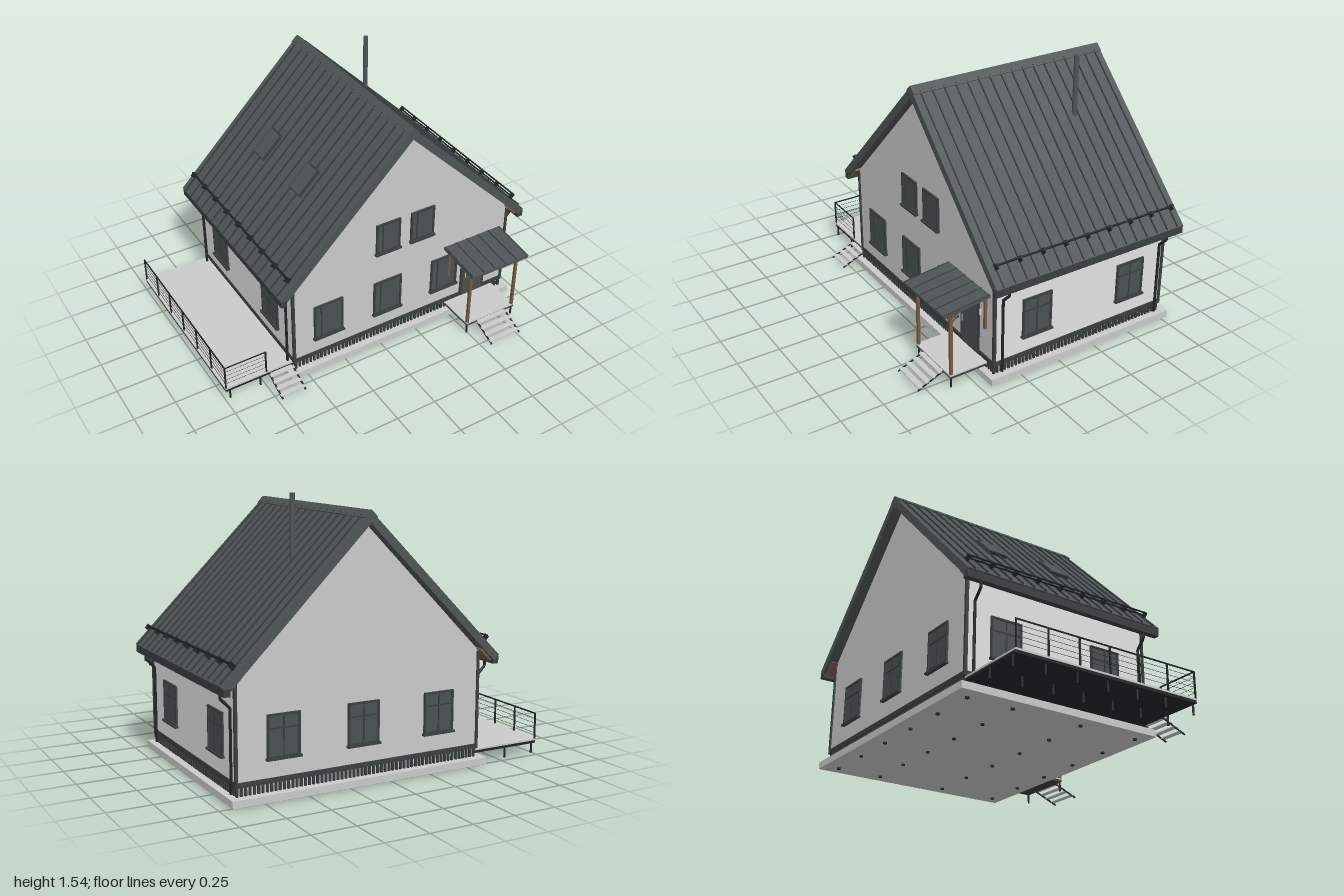
import * as THREE from 'three';

const mat = (name, color, side = THREE.FrontSide) => {
  const m = new THREE.MeshStandardMaterial({ color, side });
  m.name = name;
  return m;
};

export function createModel() {
  const M = {
    gable: mat('gablePlaster', 0xcacaca),
    wall: mat('sideWallPlaster', 0xe2e2e2),
    roof: mat('roofMetal', 0x4e5455),
    trim: mat('darkTrim', 0x3a3f40),
    glass: mat('glass', 0x4a5051),
    iron: mat('blackIron', 0x222627),
    wood: mat('wood', 0x7a5c42),
  };
  const house = new THREE.Group();
  house.name = 'house';
  const group = (name, parent = house) => {
    const g = new THREE.Group();
    g.name = name;
    parent.add(g);
    return g;
  };
  const add = (parent, name, geo, m) => {
    const mesh = new THREE.Mesh(geo, m);
    mesh.name = name;
    parent.add(mesh);
    return mesh;
  };
  // Box given by its limits on each axis
  const box = (parent, name, m, x0, x1, y0, y1, z0, z1) => {
    const b = add(parent, name, new THREE.BoxGeometry(x1 - x0, y1 - y0, z1 - z0), m);
    b.position.set((x0 + x1) / 2, (y0 + y1) / 2, (z0 + z1) / 2);
    return b;
  };
  // Round bar between two points
  const bar = (parent, name, m, a, b, r, sides = 8) => {
    const p = new THREE.Vector3(...a), q = new THREE.Vector3(...b);
    const c = add(parent, name, new THREE.CylinderGeometry(r, r, p.distanceTo(q), sides), m);
    c.position.copy(p).add(q).multiplyScalar(0.5);
    c.quaternion.setFromUnitVectors(new THREE.Vector3(0, 1, 0), q.sub(p).normalize());
    return c;
  };
  const extrude = (points, depth) => new THREE.ExtrudeGeometry(
    new THREE.Shape(points.map(p => new THREE.Vector2(...p))), { depth, bevelEnabled: false });

  const L = -0.57, R = 0.9, F = 0.41, B = -0.74, RX = 0.16;

  // Foundation slab, piles and slatted plinth
  box(house, 'foundationSlab', M.gable, -0.615, 0.94, 0.01, 0.05, -0.785, 0.45);
  const piles = group('piles');
  for (let i = 0; i < 6; i++) for (const z of [0.37, 0, -0.43, -0.7])
    bar(piles, 'pile', M.iron, [-0.53 + i * 0.276, 0, z], [-0.53 + i * 0.276, 0.02, z], 0.011);
  box(house, 'plinth', M.gable, L + 0.012, R - 0.012, 0.05, 0.1, B + 0.012, F - 0.012);
  const slats = group('plinthSlats');
  for (let x = L + 0.012; x < R; x += 0.0242) for (const z of [B + 0.006, F - 0.006])
    box(slats, 'slat', M.trim, x - 0.006, x + 0.006, 0.05, 0.1, z - 0.006, z + 0.006);
  for (let z = B + 0.012; z < F; z += 0.0242) for (const x of [L + 0.006, R - 0.006])
    box(slats, 'slat', M.trim, x - 0.006, x + 0.006, 0.05, 0.1, z - 0.006, z + 0.006);

  // Walls with gable ends, base band and corner boards
  const walls = add(house, 'walls', extrude(
    [[L, 0.1], [R, 0.1], [R, 0.662], [RX, 1.394], [L, 0.662]], F - B), [M.gable, M.wall]);
  walls.position.z = B;
  box(house, 'baseBand', M.trim, L - 0.006, R + 0.006, 0.098, 0.125, B - 0.006, F + 0.006);
  for (const x of [L, R]) for (const z of [B, F])
    box(house, 'cornerBoard', M.trim, x - 0.008, x + 0.008, 0.1, 0.655, z - 0.008, z + 0.008);

  // Roof
  const roof = add(house, 'roof', extrude([[RX, 1.46], [-0.67, 0.635], [-0.64, 0.603],
    [RX, 1.396], [0.96, 0.603], [0.99, 0.635]], 1.26), M.roof);
  roof.position.z = -0.8;
  const slopes = [0, Math.PI].map(turn => {
    const outer = group(turn ? 'leftFacingSlope' : 'rightFacingSlope');
    outer.position.set(RX, 1.46, -0.17);
    outer.rotation.y = turn;
    const s = group('slopeDetails', outer);
    s.rotation.z = -Math.atan2(0.825, 0.83);
    // Standing seams, ridge cap, snow guard and soffit in slope space
    for (let i = -8; i <= 8; i++)
      box(s, 'seam', M.trim, 0.05, 1.165, -0.002, 0.009, i * 0.0732 - 0.003, i * 0.0732 + 0.003);
    box(s, 'ridgeCap', M.roof, 0, 0.05, 0, 0.006, -0.63, 0.63);
    for (let i = -8; i <= 8; i++)
      box(s, 'capScrew', M.iron, 0.036, 0.041, 0.005, 0.009, i * 0.0732 - 0.003, i * 0.0732 + 0.003);
    for (const h of [0.018, 0.034])
      bar(s, 'snowGuardRail', M.iron, [1.05, h, -0.6], [1.05, h, 0.6], 0.005);
    for (let i = -4; i <= 4; i++)
      box(s, 'snowGuardBracket', M.iron, 1.04, 1.07, 0, 0.038, i * 0.147 - 0.004, i * 0.147 + 0.004);
    box(s, 'soffit', M.wood, 1.07, 1.16, -0.056, -0.044, -0.61, 0.61);
    // Gutter and downpipes
    box(outer, 'gutter', M.trim, 0.79, 0.826, -0.873, -0.832, -0.63, 0.63);
    for (const z of [-0.535, 0.535]) {
      const path = [[0.805, -0.86, z], [0.805, -0.9, z], [0.752, -0.955, z], [0.752, -1.4, z]];
      for (let i = 0; i < 3; i++) bar(outer, 'downpipe', M.iron, path[i], path[i + 1], 0.008);
    }
    return s;
  });
  for (const z of [-0.4, 0.03]) {
    const c = -(z + 0.17);
    box(slopes[1], 'skylightFrame', M.trim, 0.507, 0.69, 0, 0.016, c - 0.058, c + 0.058);
    box(slopes[1], 'skylightGlass', M.roof, 0.517, 0.68, 0.016, 0.019, c - 0.05, c + 0.05);
  }
  bar(house, 'chimneyPipe', M.roof, [0.425, 1.16, -0.44], [0.425, 1.54, -0.44], 0.0145, 16);

  // Window facing +z, turned onto its wall; split is the mullion position from 0 to 1
  const window_ = (x, z, turn, y0, y1, w, split, transom) => {
    const g = group('window');
    g.position.set(x, 0, z);
    g.rotation.y = turn;
    const h = w / 2, t = 0.011, m = -h + w * split;
    box(g, 'pane', M.glass, -h, h, y0, y1, 0, 0.006);
    for (const s of [-1, 1]) {
      const c = s * (h - t / 2);
      box(g, 'frameSide', M.trim, c - t / 2, c + t / 2, y0, y1, 0, 0.012);
    }
    box(g, 'frameTop', M.trim, -h, h, y1 - t, y1, 0, 0.012);
    box(g, 'frameBottom', M.trim, -h, h, y0, y0 + t, 0, 0.012);
    box(g, 'mullion', M.trim, m - 0.004, m + 0.004, y0, y1, 0, 0.01);
    if (transom) box(g, 'transom', M.trim, -h, h, y1 - 0.08, y1 - 0.072, 0, 0.01);
    box(g, 'sill', M.trim, -h - 0.006, h + 0.006, y0 - 0.008, y0 + 0.004, 0, 0.022);
  };
  for (const x of [-0.345, 0.053, 0.455]) window_(x, F, 0, 0.226, 0.458, 0.19, 0.25, false);
  for (const x of [0.048, 0.28]) window_(x, F, 0, 0.67, 0.87, 0.16, 0.27, false);
  for (const x of [0.635, 0.165, -0.31]) window_(x, B, Math.PI, 0.226, 0.458, 0.19, 0.5, true);
  for (const z of [0.138, -0.502]) {
    window_(R, z, Math.PI / 2, 0.226, 0.458, 0.19, 0.5, true);
    window_(L, z, -Math.PI / 2, 0.226, 0.458, 0.19, 0.5, true);
  }

  // Front door and lamp
  box(house, 'doorFrame', M.trim, 0.585, 0.762, 0.1, 0.432, F, F + 0.01);
  box(house, 'doorLeaf', M.glass, 0.602, 0.745, 0.11, 0.418, F + 0.008, F + 0.014);
  bar(house, 'doorHandle', M.gable, [0.615, 0.24, F + 0.018], [0.615, 0.28, F + 0.018], 0.003);
  bar(house, 'lamp', M.gable, [0.785, 0.37, F + 0.012], [0.785, 0.4, F + 0.012], 0.007);

  // Stairs running down toward +z
  const stairs = (x0, x1, z0, z1) => {
    const g = group('stairs');
    for (const x of [x0 + 0.004, x1 - 0.004])
      bar(g, 'stringer', M.iron, [x, 0.08, z0], [x, 0.012, z1], 0.006, 4);
    for (let i = 0; i < 4; i++) {
      const z = z0 + (z1 - z0) * (i + 0.45) / 4, y = 0.074 - i * 0.017;
      box(g, 'tread', M.gable, x0, x1, y, y + 0.005, z - 0.016, z + 0.016);
    }
  };
  stairs(0.55, 0.765, 0.635, 0.8);
  stairs(-0.73, -0.575, 0.39, 0.55);

  // Porch
  const porch = group('porch');
  box(porch, 'porchFloor', M.gable, 0.48, 0.835, 0.082, 0.09, F, 0.643);
  box(porch, 'porchFrame', M.trim, 0.482, 0.833, 0.068, 0.082, F, 0.641);
  for (const x of [0.49, 0.823]) {
    bar(porch, 'porchLeg', M.iron, [x, 0.01, 0.632], [x, 0.07, 0.632], 0.006);
    box(porch, 'porchPost', M.wood, x - 0.008, x + 0.008, 0.09, 0.465, 0.624, 0.64);
    box(porch, 'wallPost', M.wood, x - 0.008, x + 0.008, 0.3, 0.49, F, F + 0.014);
    bar(porch, 'rafter', M.wood, [x, 0.5, F], [x, 0.472, 0.67], 0.009, 4);
    const d = x < 0.6 ? 0.055 : -0.055;
    bar(porch, 'brace', M.wood, [x, 0.4, 0.632], [x + d, 0.462, 0.632], 0.007, 4);
    bar(porch, 'sideBrace', M.wood, [x, 0.4, 0.632], [x, 0.475, 0.57], 0.007, 4);
  }
  box(porch, 'porchBeam', M.wood, 0.465, 0.85, 0.458, 0.476, 0.624, 0.64);
  const canopy = box(porch, 'canopy', M.roof, 0.452, 0.858, 0.491, 0.508, 0.407, 0.695);
  canopy.rotation.x = 0.115;
  for (let i = 0; i < 6; i++) {
    const x = 0.457 + i * 0.0792;
    bar(porch, 'canopySeam', M.trim, [x, 0.525, 0.41], [x, 0.493, 0.692], 0.004, 4);
  }

  // Side terrace with wire railing
  const deck = group('terrace');
  box(deck, 'terraceFloor', M.gable, -1, L, 0.084, 0.094, B, 0.39);
  box(deck, 'terraceFrame', M.iron, -0.998, L, 0.068, 0.084, B + 0.002, 0.388);
  const post = (x, z) => box(deck, 'railPost', M.iron, x - 0.004, x + 0.004, 0.09, 0.245, z - 0.004, z + 0.004);
  for (let i = 0; i < 7; i++) {
    const z = B + 0.006 + i * 0.1865;
    post(-0.995, z);
    for (const x of [-0.972, -0.78])
      bar(deck, 'terraceLeg', M.iron, [x, 0.012, z], [x, 0.07, z], 0.006);
  }
  post(-0.74, 0.385);
  for (let i = 0; i < 5; i++) {
    const y = 0.243 - i * 0.029, r = i ? 0.0012 : 0.005;
    bar(deck, 'sideRail', M.iron, [-0.995, y, B + 0.002], [-0.995, y, 0.389], r, 4);
    bar(deck, 'frontRail', M.iron, [-0.995, y, 0.385], [-0.738, y, 0.385], r, 4);
  }
  return house;
}
